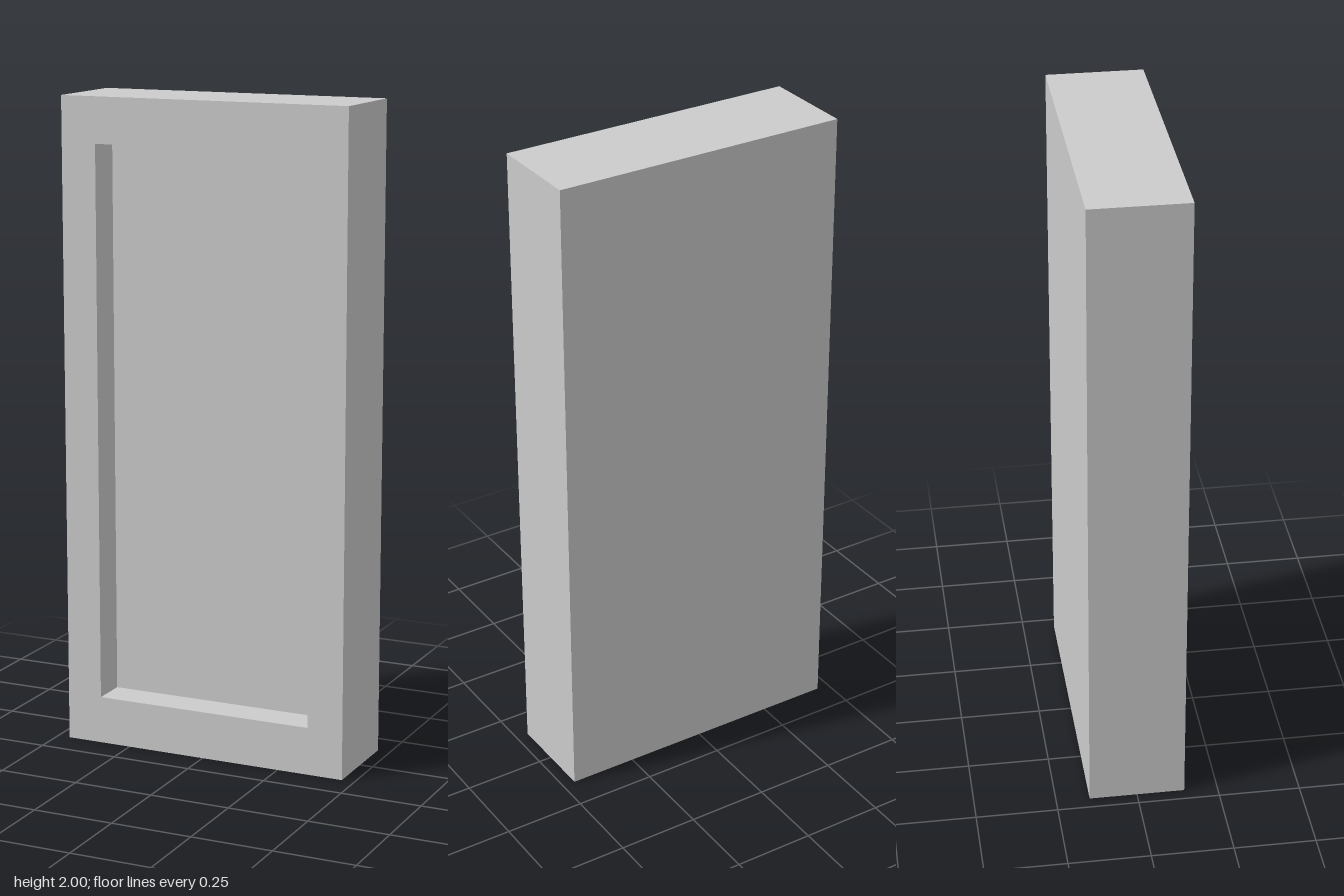
import * as THREE from 'three';

const WIDTH = 0.92, HEIGHT = 2, DEPTH = 0.294;
const OPENING = { x: 0.348, bottom: 0.147, top: 1.86, depth: 0.11 };

// Rectangle of four corners, counter-clockwise seen from the front
const ring = (x, bottom, top, z) => [[-x, bottom, z], [x, bottom, z], [x, top, z], [-x, top, z]];

// Flat-faced surface joining successive rings, closed across the first one
function shell(rings) {
  const positions = [];
  const quad = (a, b, c, d) => positions.push(...a, ...b, ...c, ...a, ...c, ...d);
  for (let r = 0; r < rings.length - 1; r++) {
    for (let i = 0; i < 4; i++) {
      const j = (i + 1) % 4;
      quad(rings[r][i], rings[r][j], rings[r + 1][j], rings[r + 1][i]);
    }
  }
  quad(...[...rings[0]].reverse());
  const geometry = new THREE.BufferGeometry();
  geometry.setAttribute('position', new THREE.Float32BufferAttribute(positions, 3));
  geometry.computeVertexNormals();
  return geometry;
}

export function createModel() {
  const group = new THREE.Group();
  group.name = 'recessedPanelBlock';
  const material = new THREE.MeshStandardMaterial({ color: 0xcccccc, flatShading: true });
  const { x, bottom, top, depth } = OPENING;
  const front = DEPTH / 2;

  // Casing: back, outer sides, front border and the walls of the recess
  const casing = new THREE.Mesh(shell([
    ring(WIDTH / 2, 0, HEIGHT, -front),
    ring(WIDTH / 2, 0, HEIGHT, front),
    ring(x, bottom, top, front),
    ring(x, bottom, top, front - depth),
  ]), material);
  casing.name = 'casing';

  // Flat panel at the bottom of the recess
  const panel = new THREE.Mesh(new THREE.PlaneGeometry(2 * x, top - bottom), material);
  panel.position.set(0, (bottom + top) / 2, front - depth);
  panel.name = 'recessedPanel';

  group.add(casing, panel);
  return group;
}
